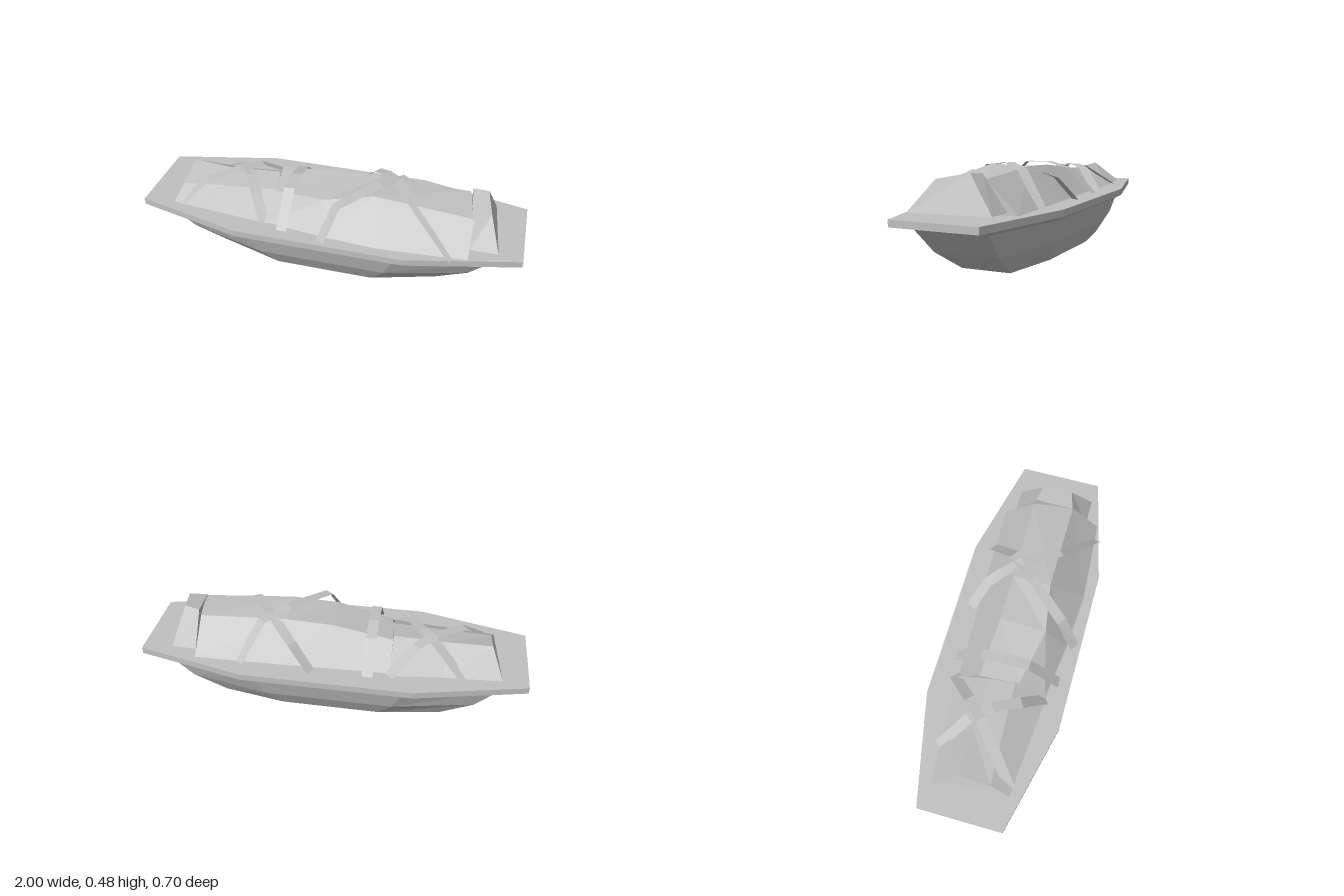
import * as THREE from 'three';

const grey = new THREE.MeshStandardMaterial({ color: 0xc0c0c0, flatShading: true, side: THREE.DoubleSide });
grey.name = 'plain grey';

// Faceted skin from rows of [x, y, z] points; closed joins each row's end to its start
function skin(name, rows, closed = false) {
  const pos = [];
  for (let r = 0; r < rows.length - 1; r++) {
    const a = rows[r], b = rows[r + 1], n = a.length;
    for (let i = 0; i < (closed ? n : n - 1); i++) {
      const k = (i + 1) % n;
      pos.push(...a[i], ...a[k], ...b[k], ...a[i], ...b[k], ...b[i]);
    }
  }
  const g = new THREE.BufferGeometry();
  g.setAttribute('position', new THREE.Float32BufferAttribute(pos, 3));
  g.computeVertexNormals();
  const mesh = new THREE.Mesh(g, grey);
  mesh.name = name;
  return mesh;
}

// Eight-sided plan: pointed-in ends, widest amidships
function ring(y, endX, endFront, endBack, midX, midZ) {
  return [
    [endX, y, endFront], [endX, y, -endBack], [midX, y, -midZ], [-midX, y, -midZ],
    [-endX, y, -endBack], [-endX, y, endFront], [-midX, y, midZ], [midX, y, midZ],
  ];
}

// Wrapped bundle: each station is [front base, front ridge, back ridge, back base]
function bundle(name, stations) {
  const group = new THREE.Group();
  group.name = name;
  group.add(skin(name + 'Cover', [0, 1, 2, 3].map(j => stations.map(s => s[j]))));
  const L = stations[0], R = stations[stations.length - 1];
  group.add(skin(name + 'LeftEnd', [[L[3], L[0]], [L[2], L[1]]]));
  group.add(skin(name + 'RightEnd', [[R[0], R[3]], [R[1], R[2]]]));
  return group;
}

// Flat ribbon along a path, widened horizontally across its direction
function strap(name, path, width = 0.055) {
  const sides = [[], []];
  path.forEach((p, i) => {
    const a = path[Math.max(i - 1, 0)], b = path[Math.min(i + 1, path.length - 1)];
    const dx = b[0] - a[0], dz = b[2] - a[2], k = width / 2 / Math.hypot(dx, dz);
    sides[0].push([p[0] + dz * k, p[1], p[2] - dx * k]);
    sides[1].push([p[0] - dz * k, p[1], p[2] + dx * k]);
  });
  return skin(name, [sides[1], sides[0]]);
}

export function createModel() {
  const model = new THREE.Group();
  model.name = 'loadedSled';

  // Hull, open underneath
  const hullTop = ring(0.226, 0.865, 0.18, 0.195, 0.385, 0.303);
  model.add(skin('hull', [
    ring(0.0, 0.585, 0.105, 0.15, 0.255, 0.205),
    ring(0.104, 0.75, 0.15, 0.18, 0.33, 0.265),
    hullTop,
  ], true));

  // Overhanging rim and deck
  const rimTop = ring(0.287, 1, 0.215, 0.222, 0.435, 0.352);
  model.add(skin('rim', [hullTop, ring(0.253, 1, 0.215, 0.222, 0.435, 0.352), rimTop], true));
  const t = rimTop;
  model.add(skin('deck', [[t[5], t[6], t[7], t[0]], [t[4], t[3], t[2], t[1]]]));

  // Covered load in three bundles
  model.add(bundle('smallBundle', [
    [[-0.83, 0.287, 0.2], [-0.81, 0.35, 0.1], [-0.81, 0.4, -0.06], [-0.87, 0.287, -0.19]],
    [[-0.6, 0.287, 0.22], [-0.58, 0.365, 0.09], [-0.58, 0.39, -0.05], [-0.58, 0.287, -0.21]],
    [[-0.28, 0.287, 0.25], [-0.29, 0.385, 0.08], [-0.31, 0.405, -0.06], [-0.31, 0.287, -0.24]],
  ]));
  model.add(bundle('largeBundle', [
    [[-0.3, 0.287, 0.24], [-0.29, 0.39, 0.1], [-0.31, 0.41, -0.1], [-0.31, 0.287, -0.22]],
    [[0, 0.287, 0.28], [0, 0.43, 0.16], [0, 0.45, -0.08], [0, 0.287, -0.23]],
    [[0.3, 0.287, 0.3], [0.24, 0.468, 0.12], [0.24, 0.46, -0.08], [0.24, 0.287, -0.24]],
    [[0.74, 0.287, 0.27], [0.74, 0.425, 0.12], [0.7, 0.44, -0.09], [0.7, 0.287, -0.25]],
  ]));
  model.add(bundle('endBundle', [
    [[0.74, 0.3, 0.205], [0.73, 0.43, 0.12], [0.71, 0.468, -0.08], [0.71, 0.3, -0.2]],
    [[0.88, 0.3, 0.205], [0.82, 0.447, 0.09], [0.79, 0.475, -0.065], [0.84, 0.3, -0.195]],
  ]));

  // Lashing straps
  const straps = {
    crossStrap: [[-0.2, 0.28, -0.275], [-0.2, 0.42, -0.12], [-0.2, 0.45, 0], [-0.2, 0.447, 0.13], [-0.2, 0.28, 0.295]],
    rightDiagonalStrap: [[0.08, 0.28, -0.275], [0.19, 0.405, -0.21], [0.25, 0.438, -0.15],
      [0.33, 0.468, -0.05], [0.45, 0.45, 0.125], [0.67, 0.28, 0.285]],
    rightCounterStrap: [[0.47, 0.28, -0.26], [0.37, 0.455, -0.11], [0.25, 0.478, 0.02],
      [0.07, 0.447, 0.225], [0.01, 0.28, 0.325]],
    leftDiagonalStrap: [[-0.69, 0.28, -0.22], [-0.53, 0.405, -0.09], [-0.45, 0.412, 0.01],
      [-0.38, 0.39, 0.14], [-0.3, 0.28, 0.255]],
    leftCounterStrap: [[-0.3, 0.28, -0.25], [-0.43, 0.4, -0.12], [-0.52, 0.415, -0.03],
      [-0.67, 0.395, 0.09], [-0.8, 0.28, 0.2]],
  };
  for (const [name, path] of Object.entries(straps)) model.add(strap(name, path));

  return model;
}
